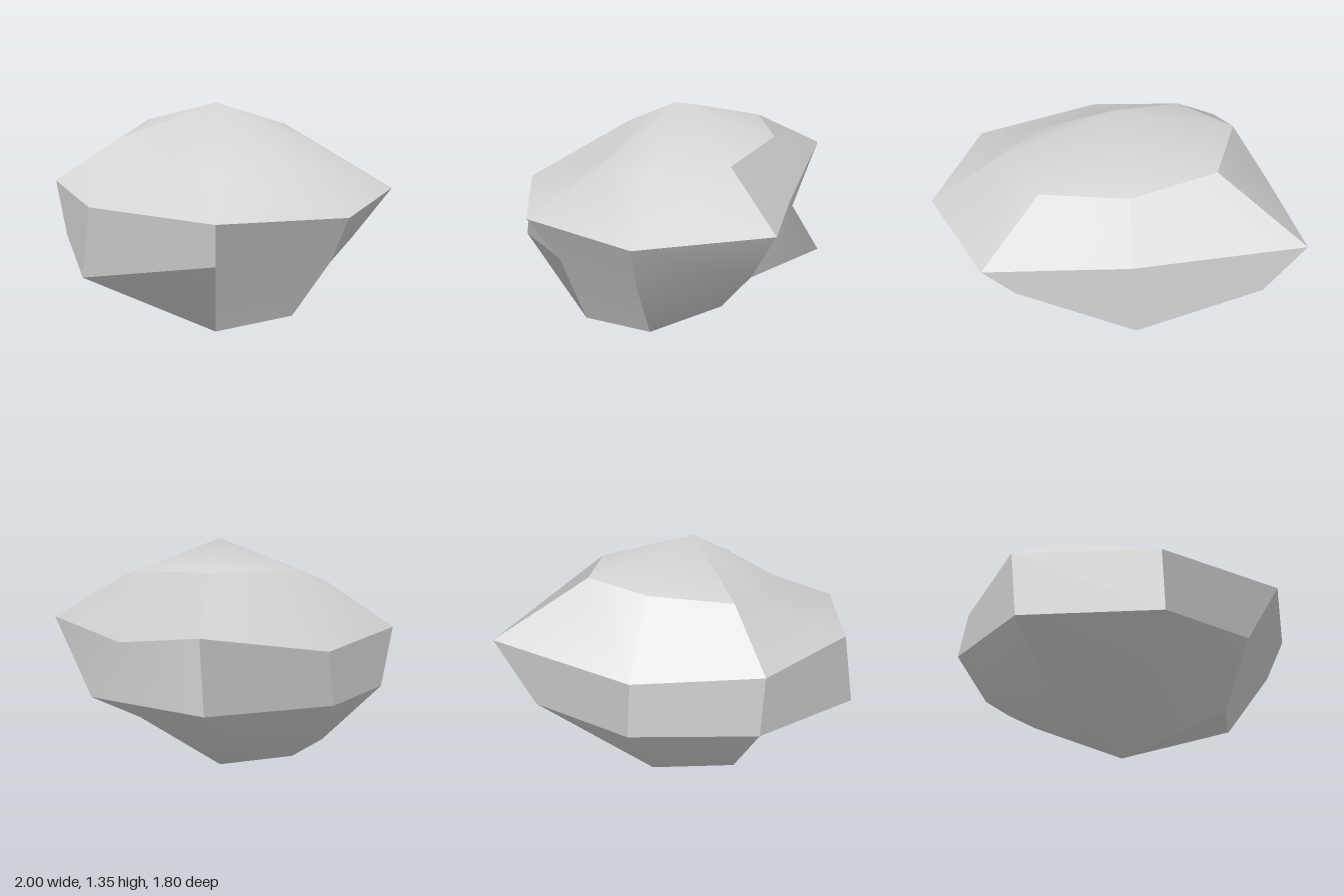
import * as THREE from 'three';

const SPOKES = 8;
const CENTER_X = -0.04, CENTER_Z = -0.05, TOP = 1.35, DEPTH = 0.87;
const CREASE = Math.cos(Math.PI / 6);

// Rings from upper to lower; each entry is [radius, height],
// running from -x round the front (+z), +x and the back.
const RINGS = [
  [[0.68, 1.19], [0.64, 1.12], [0.48, 0.99], [0.58, 1.04], [0.64, 1.10], [0.64, 1.12], [0.66, 1.18], [0.69, 1.19]],
  [[0.92, 0.80], [1.06, 0.86], [1.03, 0.85], [1.05, 0.85], [1.04, 0.84], [1.10, 0.87], [0.78, 0.80], [1.27, 0.93]],
  [[0.96, 0.53], [1.00, 0.52], [1.09, 0.47], [0.85, 0.58], [0.92, 0.58], [0.87, 0.57], [0.98, 0.52], [1.05, 0.52]],
  [[0.65, 0.20], [0.65, 0.19], [0.55, 0.28], [0.68, 0.17], [0.65, 0.21], [0.58, 0.29], [0.48, 0.30], [0.64, 0.28]],
];

// Corner points and the three- and four-sided facets between them
function boulderFacets() {
  const points = [new THREE.Vector3(CENTER_X, TOP, CENTER_Z)];
  for (const ring of RINGS) {
    ring.forEach(([radius, y], i) => {
      const angle = (i / SPOKES) * Math.PI * 2;
      points.push(new THREE.Vector3(
        CENTER_X - Math.cos(angle) * radius, y, CENTER_Z + Math.sin(angle) * radius * DEPTH));
    });
  }
  const bottom = points.length;
  points.push(new THREE.Vector3(CENTER_X, 0, CENTER_Z));

  const at = (ring, i) => 1 + ring * SPOKES + (i % SPOKES);
  const last = RINGS.length - 1;
  const facets = [];
  for (let i = 0; i < SPOKES; i++) {
    facets.push([0, at(0, i), at(0, i + 1)]);
    for (let r = 0; r < last; r++) {
      facets.push([at(r, i), at(r + 1, i), at(r + 1, i + 1), at(r, i + 1)]);
    }
    facets.push([at(last, i), bottom, at(last, i + 1)]);
  }
  return { points, facets };
}

// One normal per whole facet, blended across shallow folds and split at steep ones
function facetedGeometry({ points, facets }) {
  const edge = (from, to) => points[to].clone().sub(points[from]);
  const facetNormals = facets.map((f) => {
    const normal = new THREE.Vector3();
    for (let k = 1; k < f.length - 1; k++) {
      normal.add(edge(f[0], f[k]).cross(edge(f[0], f[k + 1])));
    }
    return normal.normalize();
  });
  const cornerAngle = (f, v) => {
    const k = f.indexOf(v), n = f.length;
    return edge(v, f[(k + 1) % n]).angleTo(edge(v, f[(k + n - 1) % n]));
  };
  const shareEdge = (f, g) => f.filter((v) => g.includes(v)).length === 2;

  // Walk round a corner over every soft edge and average the facets met
  const cornerNormal = (start, v) => {
    const fan = [start];
    for (const current of fan) {
      facets.forEach((g, j) => {
        if (g.includes(v) && !fan.includes(j) && shareEdge(facets[current], g) &&
            facetNormals[current].dot(facetNormals[j]) > CREASE) fan.push(j);
      });
    }
    const normal = new THREE.Vector3();
    for (const j of fan) normal.addScaledVector(facetNormals[j], cornerAngle(facets[j], v));
    return normal.normalize();
  };

  const positions = [], normals = [], index = [];
  facets.forEach((f, j) => {
    const base = positions.length / 3;
    for (const v of f) {
      positions.push(...points[v].toArray());
      normals.push(...cornerNormal(j, v).toArray());
    }
    for (let k = 1; k < f.length - 1; k++) index.push(base, base + k, base + k + 1);
  });

  const geometry = new THREE.BufferGeometry();
  geometry.setAttribute('position', new THREE.Float32BufferAttribute(positions, 3));
  geometry.setAttribute('normal', new THREE.Float32BufferAttribute(normals, 3));
  geometry.setIndex(index);
  return geometry;
}

export function createModel() {
  const group = new THREE.Group();
  group.name = 'rock';

  const stone = new THREE.MeshStandardMaterial({ color: 0xd4d4d4 });
  stone.name = 'pale stone grey';

  const boulder = new THREE.Mesh(facetedGeometry(boulderFacets()), stone);
  boulder.name = 'boulder';
  group.add(boulder);
  return group;
}
